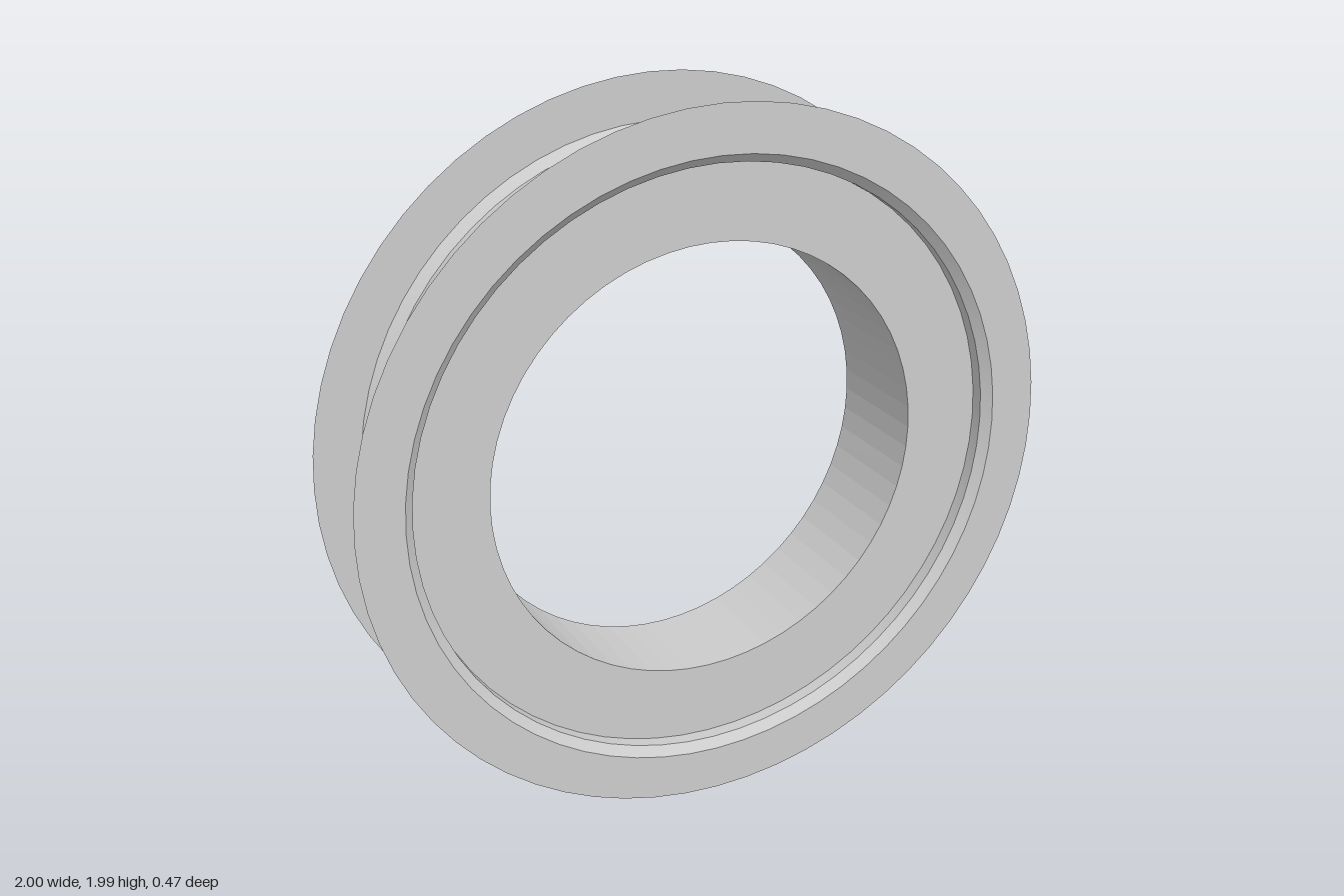
import * as THREE from 'three';
import { toCreasedNormals } from 'three/addons/utils/BufferGeometryUtils.js';

const SIDES = 64;
const CENTRE_Y = 0.994;      // ring centre height
const BORE = 0.622;          // radius of the tube
const RECESS = 0.062;        // depth of the plate behind the flange face
const TILT = 0.0626;         // angle between the two flanges
const FRONT = new THREE.Vector3(0.006, CENTRE_Y, 0.237);
const BACK = new THREE.Vector3(-0.008, CENTRE_Y, -0.175);

// Sheet flange: plate, short rim, flared lip and flat outer ring; face looks along +z
function flangeGeometry() {
  const profile = [
    [BORE, -RECESS], [0.838, -RECESS], [0.838, -0.024], [0.863, 0], [0.994, 0],
  ].map(([r, h]) => new THREE.Vector2(r, h));
  const geometry = new THREE.LatheGeometry(profile, SIDES);
  geometry.rotateX(Math.PI / 2);
  return toCreasedNormals(geometry, 0.35);
}

// Open tube whose back end is cut to meet the tilted flange
function tubeGeometry() {
  const geometry = new THREE.CylinderGeometry(BORE, BORE, 1, SIDES, 1, true);
  geometry.rotateX(Math.PI / 2);
  const p = geometry.attributes.position;
  const sin = Math.sin(TILT), cos = Math.cos(TILT);
  for (let i = 0; i < p.count; i++) {
    const x = p.getX(i), y = p.getY(i) + CENTRE_Y;
    if (p.getZ(i) > 0) p.setXYZ(i, FRONT.x + x, y, FRONT.z - RECESS);
    else p.setXYZ(i, BACK.x + RECESS * sin + x * cos, y, BACK.z + RECESS * cos - x * sin);
  }
  geometry.computeVertexNormals();
  return geometry;
}

export function createModel() {
  const model = new THREE.Group();
  model.name = 'wheelRim';
  const sheet = new THREE.MeshStandardMaterial({ color: 0xcccccc, side: THREE.DoubleSide });
  const faceted = sheet.clone();
  faceted.flatShading = true;

  const add = (name, geometry, material) => {
    const mesh = new THREE.Mesh(geometry, material);
    mesh.name = name;
    model.add(mesh);
    return mesh;
  };

  // Two equal flanges, the back one turned round and tilted
  const flange = flangeGeometry();
  add('frontFlange', flange, sheet).position.copy(FRONT);
  const back = add('backFlange', flange, sheet);
  back.position.copy(BACK);
  back.rotation.y = Math.PI + TILT;

  // Faceted tube between the plates
  add('tube', tubeGeometry(), faceted);
  return model;
}
